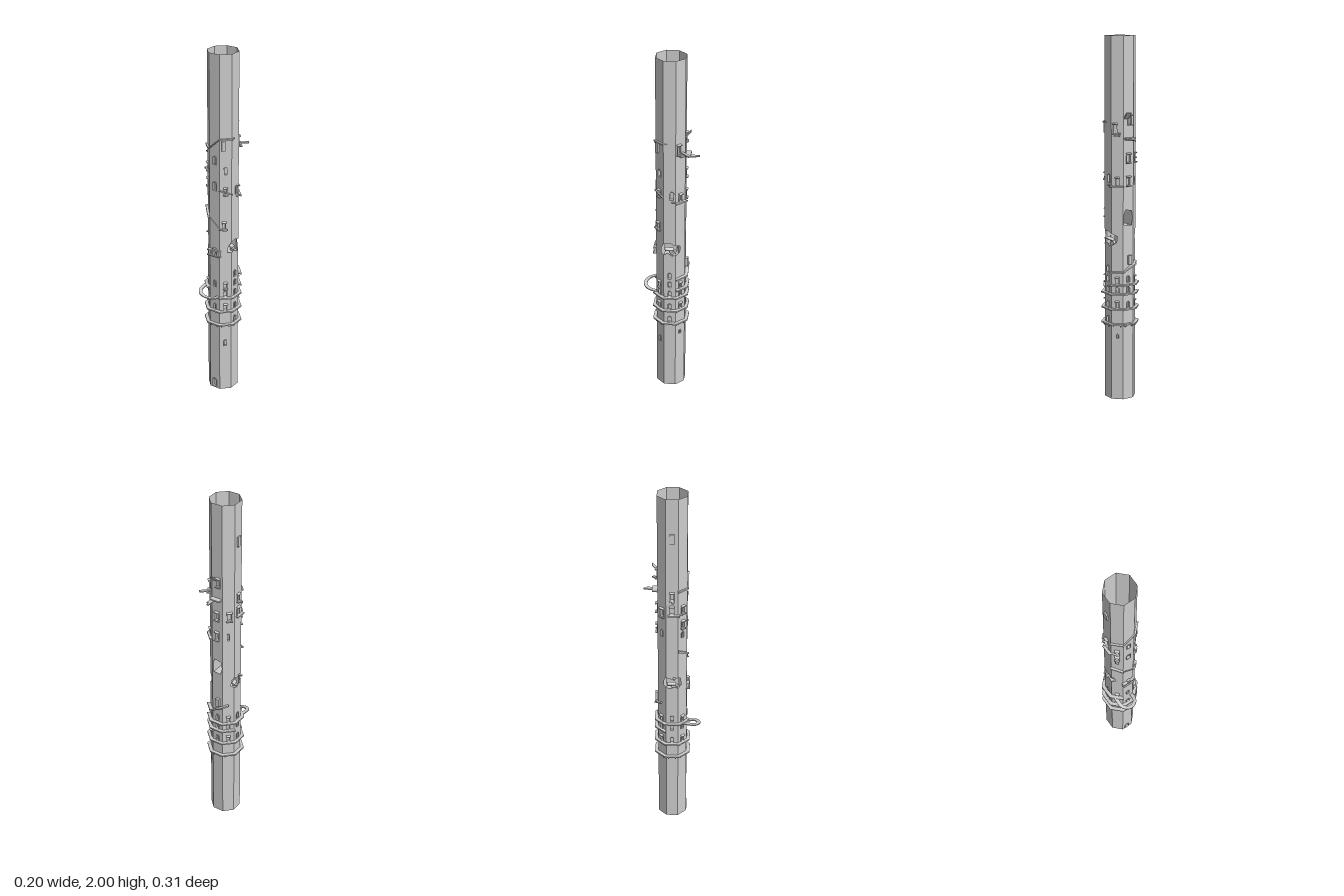
import * as THREE from 'three';

const AP = 0.079;                        // wall distance from the axis
const T = Math.tan(Math.PI / 8);
const HW = AP * T;                       // half width of one wall face
const CX = -0.008, CZ = -0.003, H = 2;

export function createModel() {
  const root = new THREE.Group();
  root.name = 'tower';
  const stone = new THREE.MeshStandardMaterial({ color: 0xcccccc, side: THREE.DoubleSide });
  stone.name = 'stone';

  // One group per wall face: local z points outwards, local x to the right
  const faces = [];
  for (let k = 0; k < 8; k++) {
    const g = new THREE.Group();
    g.name = 'side' + k;
    g.position.set(CX, 0, CZ);
    g.rotation.y = k * Math.PI / 4;
    root.add(g);
    faces.push(g);
  }
  const add = (parent, geo, name) => {
    const m = new THREE.Mesh(geo, stone);
    m.name = name;
    parent.add(m);
    return m;
  };
  const box = (k, name, w, h, d, x, y, z, rx = 0, ry = 0, rz = 0) => {
    const m = add(faces[k], new THREE.BoxGeometry(w, h, d), name);
    m.position.set(x, y, z);
    m.rotation.set(rx, ry, rz);
    return m;
  };
  const arch = (Kind, x, y, w, h) => {
    const p = new Kind(), r = w / 2;
    p.moveTo(x - r, y);
    p.lineTo(x + r, y);
    p.lineTo(x + r, y + h - r);
    p.absarc(x, y + h - r, r, 0, Math.PI, false);
    p.lineTo(x - r, y);
    return p;
  };

  // Openings: [face, x, sill height, width, height, hooded]
  const openings = [
    [0, -0.003, 0.01, 0.026, 0.05, 0], [0, 0, 1.245, 0.022, 0.048, 0], [0, 0, 1.395, 0.02, 0.045, 0],
    [1, -0.008, 1.02, 0.016, 0.04, 1], [1, 0, 0.29, 0.014, 0.035, 0], [1, 0, 1.225, 0.016, 0.035, 1],
    [1, 0, 1.34, 0.016, 0.04, 0], [2, 0, 0.435, 0.018, 0.035, 0], [2, 0, 0.72, 0.016, 0.035, 0],
    [2, 0.012, 1.215, 0.022, 0.045, 0], [3, 0, 0.35, 0.01, 0.02, 0], [3, -0.012, 1.48, 0.02, 0.05, 1],
    [3, 0, 1.2, 0.018, 0.04, 1], [4, 0, 1.325, 0.022, 0.045, 1], [4, 0, 1.2, 0.02, 0.045, 1],
    [4, 0.008, 1.53, 0.02, 0.045, 1], [5, 0.005, 1.325, 0.024, 0.045, 1], [5, 0, 1.2, 0.012, 0.04, 0],
    [6, 0, 1.345, 0.02, 0.045, 1], [6, 0, 1.43, 0.018, 0.04, 1], [6, 0, 1.755, 0.022, 0.05, 0],
    [7, 0, 1.345, 0.018, 0.04, 1], [7, 0, 1.255, 0.018, 0.04, 1], [7, 0, 1.195, 0.014, 0.035, 0],
  ];
  for (let k = 0; k < 8; k++) {
    openings.push([k, 0, 0.52, 0.016, 0.034, k % 2]);
    openings.push([k, 0, k % 2 ? 0.655 : 0.665, 0.016, 0.034, k % 2]);
    if (k !== 0) openings.push([k, 0, 0.605, 0.016, 0.034, 0]);
  }

  // Breaches bite across wall edges: [x, y] outlines going up the right or left edge
  const right = { 1: [[HW, 0.875], [0.012, 0.88], [0.016, 0.915], [HW, 0.94]], 5: [[HW, 0.89], [0.014, 0.9], [0.02, 0.94], [HW, 0.95]] };
  const left = { 3: [[-HW, 0.87], [-0.004, 0.885], [0, 0.92], [-HW, 0.935]], 7: [[-HW, 0.885], [-0.008, 0.9], [-0.016, 0.945], [-HW, 0.95]] };
  const split = {
    2: [[[-HW, 0.875], [-0.01, 0.885], [0.015, 0.865], [HW, 0.87]], [[-HW, 0.94], [0, 0.948], [0.02, 0.937], [HW, 0.935]]],
    6: [[[-HW, 0.89], [-0.01, 0.88], [0.01, 0.892], [HW, 0.885]], [[-HW, 0.95], [0, 0.94], [HW, 0.95]]],
  };
  const backBreach = [[-0.028, 0.985], [0.02, 0.98], [0.029, 1.02], [0.022, 1.06], [-0.018, 1.067], [-0.03, 1.03]];
  const V = (a) => a.map(([x, y]) => new THREE.Vector2(x, y));

  // Eight wall panels
  for (let k = 0; k < 8; k++) {
    const outlines = split[k]
      ? [[[-HW, 0], [HW, 0], ...[...split[k][0]].reverse()], [...split[k][1], [HW, H], [-HW, H]]]
      : [[[-HW, 0], [HW, 0], ...(right[k] || []), [HW, H], [-HW, H], ...[...(left[k] || [])].reverse()]];
    const shapes = outlines.map((o) => new THREE.Shape(V(o)));
    for (const [f, x, y, w, h] of openings) {
      if (f !== k) continue;
      shapes[split[k] && y > 0.9 ? 1 : 0].holes.push(arch(THREE.Path, x, y, w, h));
    }
    if (k === 4) shapes[0].holes.push(new THREE.Path(V(backBreach)));
    for (const s of shapes) add(faces[k], new THREE.ShapeGeometry(s, 5), 'wall').position.z = AP;
  }
  const floor = add(root, new THREE.CylinderGeometry(AP / Math.cos(Math.PI / 8), AP / Math.cos(Math.PI / 8), 0.004, 8), 'floor');
  floor.position.set(CX, 0.002, CZ);
  floor.rotation.y = Math.PI / 8;

  // Window and door surrounds with shallow niches
  for (const [k, x, y, w, h, hood] of openings) {
    const s = arch(THREE.Shape, x, y - 0.002, w + 0.006, h + 0.005);
    s.holes.push(arch(THREE.Path, x, y, w, h));
    add(faces[k], new THREE.ExtrudeGeometry(s, { depth: 0.014, bevelEnabled: false, curveSegments: 5 }), 'windowSurround').position.z = AP - 0.01;
    add(faces[k], new THREE.ShapeGeometry(arch(THREE.Shape, x, y, w, h), 5), 'windowBack').position.z = AP - 0.01;
    if (hood) {
      box(k, 'sill', w + 0.01, 0.005, 0.014, x, y - 0.004, AP + 0.006);
      box(k, 'hood', w + 0.008, 0.004, 0.014, x, y + h + 0.003, AP + 0.006, 0.35);
    }
  }

  // Walkway pieces, mitred to follow the octagon and free to slope
  const ledge = (k, yA, yB = yA, out = 0.019, t = 0.008, x0 = -1, x1 = 1) => {
    const g = new THREE.BoxGeometry(1, 1, 1), p = g.attributes.position;
    for (let i = 0; i < p.count; i++) {
      const n = p.getZ(i) > 0 ? AP + out : AP - 0.002;
      const side = p.getX(i) > 0 ? x1 : x0;
      p.setXYZ(i, side * n * T, THREE.MathUtils.lerp(yA, yB, (side + 1) / 2) + p.getY(i) * t, n);
    }
    g.computeVertexNormals();
    add(faces[k], g, 'walkway');
  };
  for (let k = 0; k < 8; k++) {
    ledge(k, 0.43);
    ledge(k, 0.515);
    for (const x of [-0.02, 0.02]) box(k, 'bracket', 0.005, 0.014, 0.012, x, 0.422, AP + 0.006);
  }
  for (const k of [1, 2, 3, 4, 5]) ledge(k, 0.6);
  for (const k of [3, 4, 5, 6, 7]) ledge(k, 0.65);
  ledge(3, 0.72, 0.725);
  ledge(4, 0.725, 0.765);
  ledge(5, 0.765, 0.785, 0.014, 0.008, -1, 0);
  // Upper stair run
  ledge(7, 1.48, 1.48, 0.01);
  ledge(0, 1.48, 1.54, 0.008, 0.006);
  ledge(1, 1.54, 1.54, 0.01);
  ledge(2, 1.54, 1.54, 0.006, 0.005, -1, -0.4);
  // Middle stair runs
  ledge(7, 1.12, 1.085, 0.012, 0.012);
  ledge(0, 1.08, 1.025, 0.005, 0.005);
  ledge(1, 1.02, 1.015, 0.01, 0.007, -1, 0.3);
  ledge(1, 1.25, 1.225, 0.008, 0.006);
  ledge(2, 1.2, 1.2, 0.01, 0.006, 0.3, 1);
  ledge(3, 1.195, 1.195, 0.016);
  ledge(6, 1.34, 1.34, 0.016, 0.008, -0.6, 1);
  ledge(7, 1.34, 1.34, 0.01, 0.006, -1, 0);

  // Looping bridge in front, descending from left end to right end
  const loop = new THREE.BoxGeometry(1, 0.006, 0.02, 32, 1, 1);
  const lp = loop.attributes.position;
  for (let i = 0; i < lp.count; i++) {
    const t = lp.getX(i) + 0.5, r = 0.048 + lp.getZ(i), leg = 0.14;
    const a = Math.PI * (1 - THREE.MathUtils.clamp((t - leg) / (1 - 2 * leg), 0, 1));
    const back = Math.max(0, leg - t, t - 1 + leg) / leg * 0.045;
    lp.setXYZ(i, -0.032 + r * Math.cos(a), 0.65 - 0.05 * t + lp.getY(i), 0.097 + r * Math.sin(a) - back);
  }
  loop.computeVertexNormals();
  add(root, loop, 'loopBridge');

  // Jutting beams and boards
  box(4, 'backBeam', 0.012, 0.006, 0.085, -0.01, 1.45, 0.111);
  box(4, 'backBeamPlank', 0.012, 0.006, 0.065, -0.021, 1.45, 0.103);
  box(4, 'backPlatform', 0.06, 0.008, 0.03, 0, 1.455, 0.092);
  box(4, 'tiltedBoard', 0.03, 0.005, 0.05, -0.014, 1.575, 0.09, -0.85);
  box(3, 'sideBeam', 0.016, 0.007, 0.075, 0.01, 1.482, 0.104);
  box(3, 'sidePlatform', 0.03, 0.007, 0.03, 0, 1.47, 0.088);
  box(6, 'spout', 0.012, 0.008, 0.03, 0.004, 1.425, 0.09);
  box(6, 'highBox', 0.026, 0.055, 0.01, 0, 1.782, 0.082);
  box(6, 'lowBeam', 0.012, 0.006, 0.03, 0.012, 0.95, 0.085);
  box(1, 'oriel', 0.02, 0.055, 0.014, -0.012, 1.505, 0.084);
  box(4, 'backOriel', 0.022, 0.05, 0.016, 0.005, 0.79, 0.086);

  // Rooms behind the breaches, open towards the outside
  const room = (k, w, h, d, x, y) => {
    const zc = AP - d / 2 - 0.001;
    box(k, 'roomFloor', w, 0.004, d, x, y - h / 2, zc);
    box(k, 'roomCeiling', w, 0.004, d, x, y + h / 2, zc);
    box(k, 'roomBack', w, h, 0.003, x, y, AP - d);
    for (const s of [-1, 1]) box(k, 'roomSide', 0.003, h, d, x + s * w / 2, y, zc);
  };
  room(4, 0.058, 0.092, 0.085, 0, 1.023);
  for (const k of [2, 6]) {
    box(k, 'breachFloor', 0.062, 0.004, 0.07, 0, 0.868, AP - 0.037);
    box(k, 'breachCeiling', 0.062, 0.004, 0.07, 0, 0.953, AP - 0.037);
    box(k, 'breachBack', 0.07, 0.085, 0.003, 0, 0.91, 0.012);
    box(k, 'fallenBlock', 0.024, 0.016, 0.022, 0.01, 0.88, 0.055, 0.2, 0.5, 0.3);
    box(k, 'fallenSlab', 0.05, 0.006, 0.02, -0.004, 0.9, 0.06, 0.5, 0.2, -0.3);
  }

  // Rubble porch on the front
  for (const [x, w, h] of [[-0.028, 0.014, 0.03], [0, 0.02, 0.044], [0.03, 0.016, 0.036]])
    box(0, 'porchPost', w, h, 0.014, x, 0.858 + h / 2, 0.084);
  box(0, 'porchLintel', 0.08, 0.007, 0.018, 0, 0.888, 0.086);
  box(0, 'porchStep', 0.08, 0.006, 0.02, 0, 0.858, 0.087);

  return root;
}
